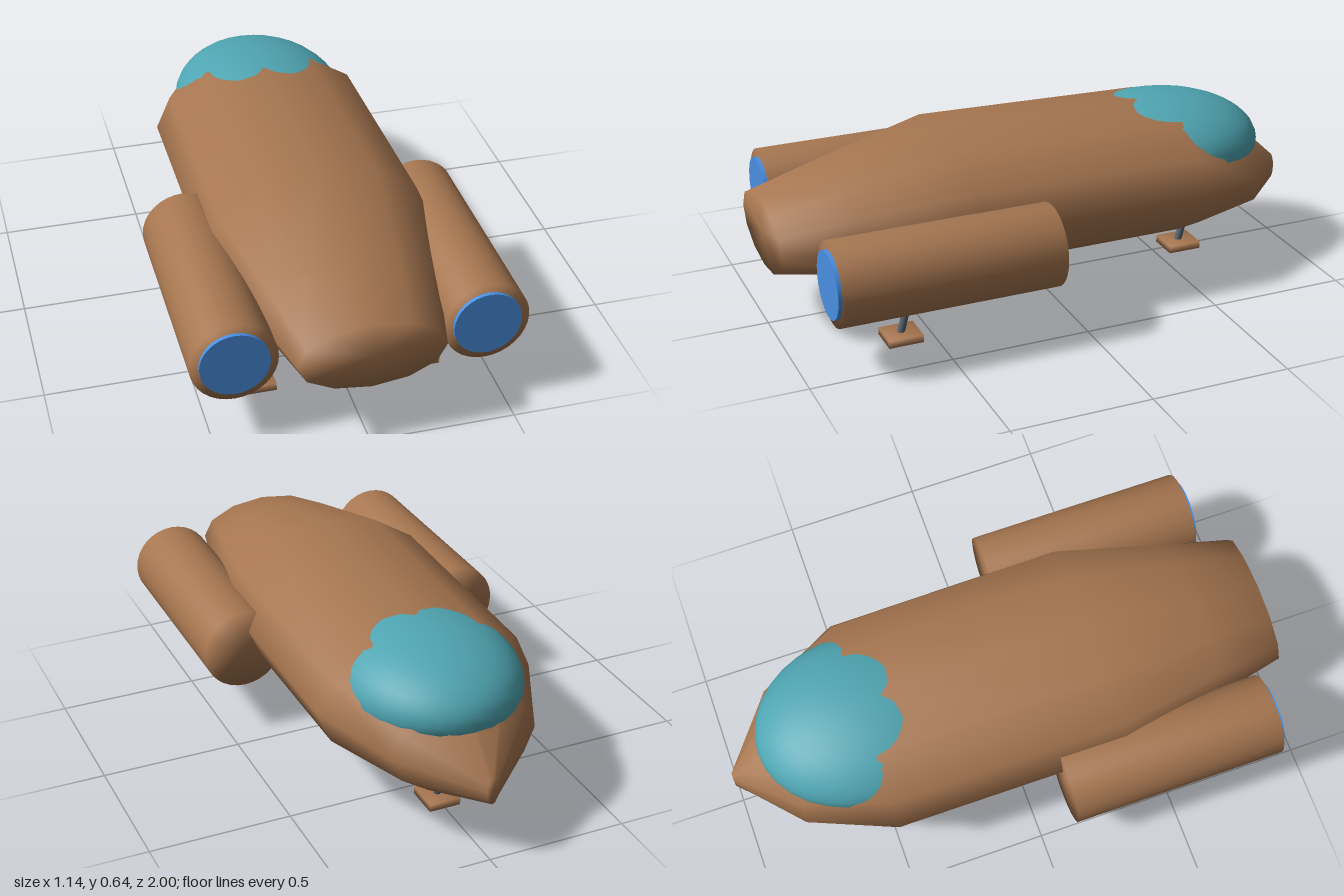
import * as THREE from 'three';
import { mergeVertices } from 'three/addons/utils/BufferGeometryUtils.js';

const material = (name, color) => {
  const m = new THREE.MeshStandardMaterial({ color });
  m.name = name;
  return m;
};

// Share corners so the shading runs smoothly over the edges.
function smooth(geometry) {
  geometry.deleteAttribute('normal');
  geometry.deleteAttribute('uv');
  const merged = mergeVertices(geometry, 1e-4);
  merged.computeVertexNormals();
  return merged;
}

// Closed skin of twelve-sided oval sections, listed from nose to tail.
function hullGeometry() {
  const sides = 12;
  // z, half width, bottom, top
  const sections = [
    [-1, 0.02, 0.217, 0.312],
    [-0.8, 0.26, 0.164, 0.5],
    [-0.5, 0.4, 0.139, 0.622],
    [0.35, 0.405, 0.139, 0.643],
    [0.75, 0.31, 0.185, 0.545],
    [1, 0.25, 0.228, 0.474],
  ];
  const points = [], index = [];
  for (const [z, w, low, high] of sections) {
    for (let i = 0; i < sides; i++) {
      const a = (i / sides) * Math.PI * 2;
      points.push(w * Math.sin(a), (low + high) / 2 + ((high - low) / 2) * Math.cos(a), z);
    }
  }
  for (let s = 0; s < sections.length - 1; s++) {
    for (let i = 0; i < sides; i++) {
      const a = s * sides + i, b = s * sides + ((i + 1) % sides);
      index.push(a, a + sides, b, b, a + sides, b + sides);
    }
  }
  // End caps
  const last = (sections.length - 1) * sides;
  const nose = points.length / 3, tail = nose + 1;
  points.push(0, 0.265, -1, 0, 0.351, 1);
  for (let i = 0; i < sides; i++) {
    const j = (i + 1) % sides;
    index.push(nose, i, j, tail, last + j, last + i);
  }
  const g = new THREE.BufferGeometry();
  g.setAttribute('position', new THREE.Float32BufferAttribute(points, 3));
  g.setIndex(index);
  g.computeVertexNormals();
  return g;
}

export function createModel() {
  const brown = material('hull brown', 0xa67650);
  const teal = material('canopy teal', 0x4fa5b2);
  const blue = material('engine glow blue', 0x4a90e2);
  const grey = material('strut grey', 0x58626e);

  const model = new THREE.Group();
  model.name = 'spacecraft';
  const add = (parent, name, geometry, mat, x = 0, y = 0, z = 0) => {
    const mesh = new THREE.Mesh(geometry, mat);
    mesh.name = name;
    mesh.position.set(x, y, z);
    parent.add(mesh);
  };

  add(model, 'hull', hullGeometry(), brown);

  // Canopy bubble sunk into the nose
  const canopy = new THREE.SphereGeometry(1, 32, 20).scale(0.317, 0.178, 0.386);
  add(model, 'canopy', canopy, teal, 0, 0.45, -0.5);

  // Engine pods with glowing exhaust discs
  const pod = smooth(new THREE.CylinderGeometry(0.147, 0.147, 0.78, 32).rotateX(Math.PI / 2));
  const disc = new THREE.CylinderGeometry(0.117, 0.117, 0.03, 32).rotateX(Math.PI / 2);
  for (const side of [1, -1]) {
    const engine = new THREE.Group();
    engine.name = side > 0 ? 'leftEngine' : 'rightEngine';
    engine.position.set(side * 0.425, 0.323, 0);
    add(engine, 'enginePod', pod, brown, 0, 0, 0.497);
    add(engine, 'exhaustDisc', disc, blue, 0, 0, 0.886);
    model.add(engine);
  }

  // Landing gear: one leg under the nose, two under the tail
  const lean = Math.atan2(0.05, 0.19);
  const strut = new THREE.CylinderGeometry(0.0135, 0.0135, 0.195, 12).rotateX(-lean);
  const foot = smooth(new THREE.BoxGeometry(0.115, 0.027, 0.125));
  for (const [name, x, z] of [['noseLeg', 0, -0.61], ['leftTailLeg', 0.29, 0.61], ['rightTailLeg', -0.29, 0.61]]) {
    const leg = new THREE.Group();
    leg.name = name;
    leg.position.set(x, 0, z);
    add(leg, 'strut', strut, grey, 0, 0.11, -0.022);
    add(leg, 'foot', foot, brown, 0, 0.0135, 0);
    model.add(leg);
  }
  return model;
}
